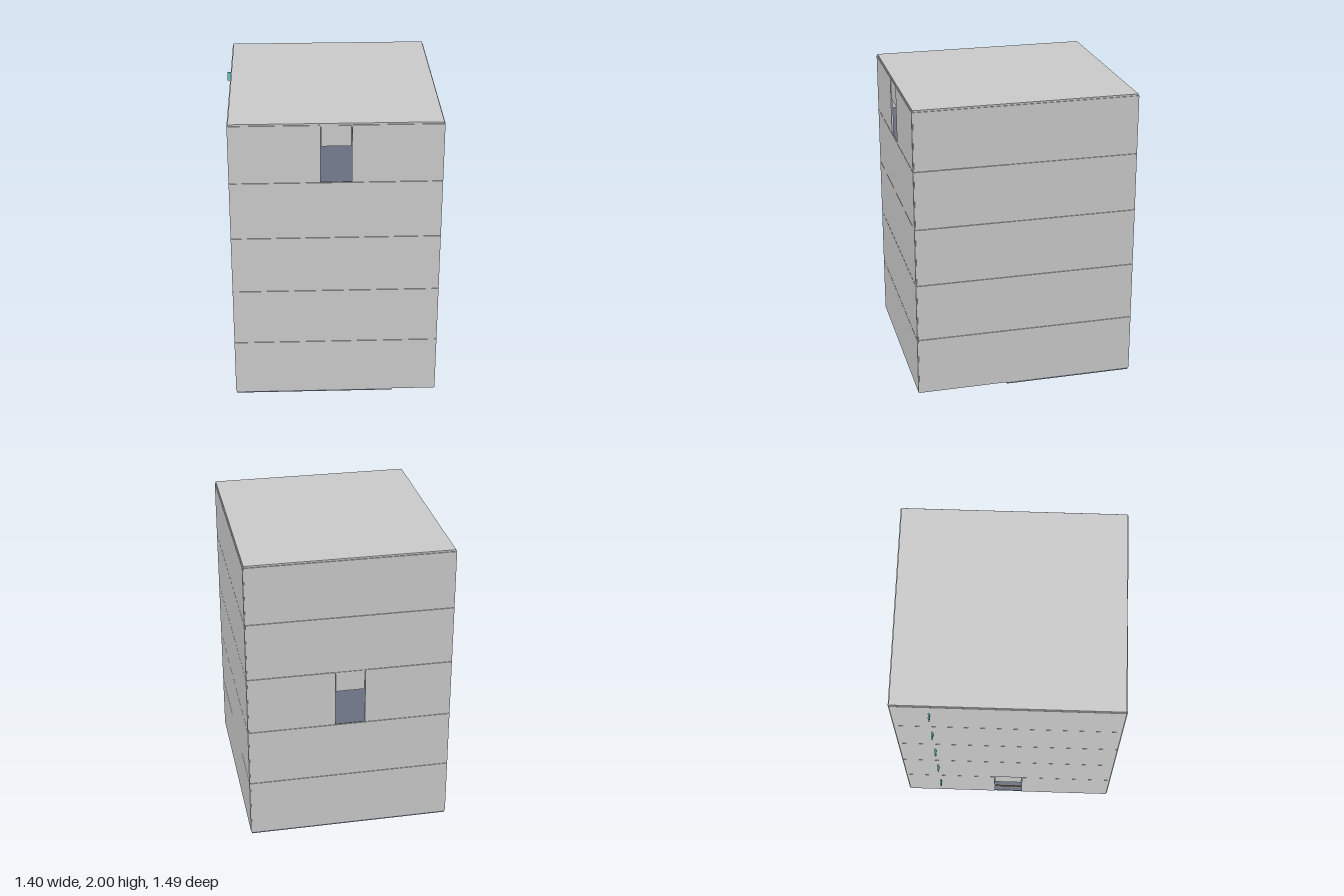
import * as THREE from 'three';

const grey = new THREE.MeshStandardMaterial({ color: 0xcccccc });
const slate = new THREE.MeshStandardMaterial({ color: 0x6a7080 });
const cyan = new THREE.MeshStandardMaterial({ color: 0x66cccc });
const gold = new THREE.MeshStandardMaterial({ color: 0x8f7a42 });

// Building footprint, storey size and stairwell corner
const X0 = -0.662, X1 = 0.692, Z0 = -0.738, Z1 = 0.738;
const CX = (X0 + X1) / 2, WIDTH = X1 - X0, DEPTH = Z1 - Z0;
const STOREYS = 5, RISE = 0.3955, SLAB = 0.014;
const WALL = 0.012, WALL_H = RISE - 0.003;
const WELL_X = 0.4, WELL_Z = 0.13;
const DOOR_W = 0.2, DOOR_H = 0.25;

// Box given by its lowest and highest corners
function box(parent, name, material, [ax, ay, az], [bx, by, bz]) {
  const mesh = new THREE.Mesh(new THREE.BoxGeometry(bx - ax, by - ay, bz - az), material);
  mesh.position.set((ax + bx) / 2, (ay + by) / 2, (az + bz) / 2);
  mesh.name = name;
  parent.add(mesh);
  return mesh;
}

// Wall centred on its own origin and facing +z, with an optional doorway
function makeWall(name, length, hasDoor) {
  const wall = new THREE.Group();
  wall.name = name;
  const h = length / 2, t = WALL / 2, d = DOOR_W / 2;
  if (!hasDoor) {
    box(wall, 'wallPanel', grey, [-h, 0, -t], [h, WALL_H, t]);
    return wall;
  }
  box(wall, 'wallPanel', grey, [-h, 0, -t], [-d, WALL_H, t]);
  box(wall, 'wallPanel', grey, [d, 0, -t], [h, WALL_H, t]);
  box(wall, 'doorLintel', grey, [-d + 0.004, DOOR_H, -t], [d - 0.004, WALL_H - 0.002, t - 0.003]);
  return wall;
}

// Floor plate with a notch in one corner for the stairs
function makeFloor() {
  const shape = new THREE.Shape([
    [X0, Z0], [X1, Z0], [X1, WELL_Z], [WELL_X, WELL_Z], [WELL_X, Z1], [X0, Z1],
  ].map(([x, z]) => new THREE.Vector2(x, -z)));
  const geometry = new THREE.ExtrudeGeometry(shape, { depth: SLAB, bevelEnabled: false });
  geometry.rotateX(-Math.PI / 2);
  const floor = new THREE.Mesh(geometry, slate);
  floor.name = 'floor';
  return floor;
}

// Folded-plate stairs climbing from the front wall towards the back
function makeStairs() {
  const stairs = new THREE.Group();
  stairs.name = 'stairs';
  const steps = 10, run = (Z1 - 0.006 - WELL_Z) / steps, rise = RISE / steps, t = 0.006;
  const x0 = WELL_X + 0.008, x1 = X1 - 0.008;
  for (let i = 0; i < steps; i++) {
    const z = Z1 - 0.006 - i * run, y = SLAB + i * rise;
    box(stairs, 'riser', slate, [x0, y - t, z - t], [x1, y + rise - t, z]);
    box(stairs, 'tread', slate, [x0, y + rise - t, z - run], [x1, y + rise, z]);
  }
  return stairs;
}

// Railing along the open side of the stairwell
function makeRailing() {
  const railing = new THREE.Group();
  railing.name = 'railing';
  const top = 0.15, r = 0.004, x = WELL_X - 0.008;
  for (const z of [WELL_Z + r, (WELL_Z + Z1) / 2, Z1 - 0.02]) {
    box(railing, 'railingPost', gold, [x - r, SLAB, z - r], [x + r, top, z + r]);
  }
  box(railing, 'handrail', gold, [x - r, top - 0.008, WELL_Z], [x + r, top, Z1 - 0.01]);
  return railing;
}

function makeStorey(level) {
  const storey = new THREE.Group();
  storey.name = `storey${level + 1}`;
  storey.add(makeFloor(), makeRailing());
  if (level < STOREYS - 1) storey.add(makeStairs());

  // Doorways: side on the ground, back on the third, front on the fifth storey
  const walls = [
    ['frontWall', WIDTH, CX, Z1, 0, level === 4],
    ['backWall', WIDTH, CX, Z0, Math.PI, level === 2],
    ['leftWall', DEPTH, X1, 0, Math.PI / 2, false],
    ['rightWall', DEPTH, X0, 0, -Math.PI / 2, level === 0],
  ];
  for (const [name, length, x, z, turn, hasDoor] of walls) {
    const wall = makeWall(name, length, hasDoor);
    wall.position.set(x, SLAB, z);
    wall.rotation.y = turn;
    storey.add(wall);
  }

  // Guard bar across the ground-floor doorway
  if (level === 0) {
    box(storey, 'doorBar', gold, [X0 - 0.004, 0.138, -DOOR_W / 2], [X0 + 0.004, 0.15, DOOR_W / 2]);
  }

  // Small marker plate standing out from the side wall
  box(storey, 'markerPlate', cyan, [-0.704, 0.232, -0.5], [X0 - 0.004, 0.292, -0.491]);
  storey.position.y = level * RISE;
  return storey;
}

export function createModel() {
  const model = new THREE.Group();
  model.name = 'building';
  for (let level = 0; level < STOREYS; level++) model.add(makeStorey(level));
  box(model, 'roof', grey, [X0, STOREYS * RISE, Z0], [X1, 2, Z1]);
  return model;
}
